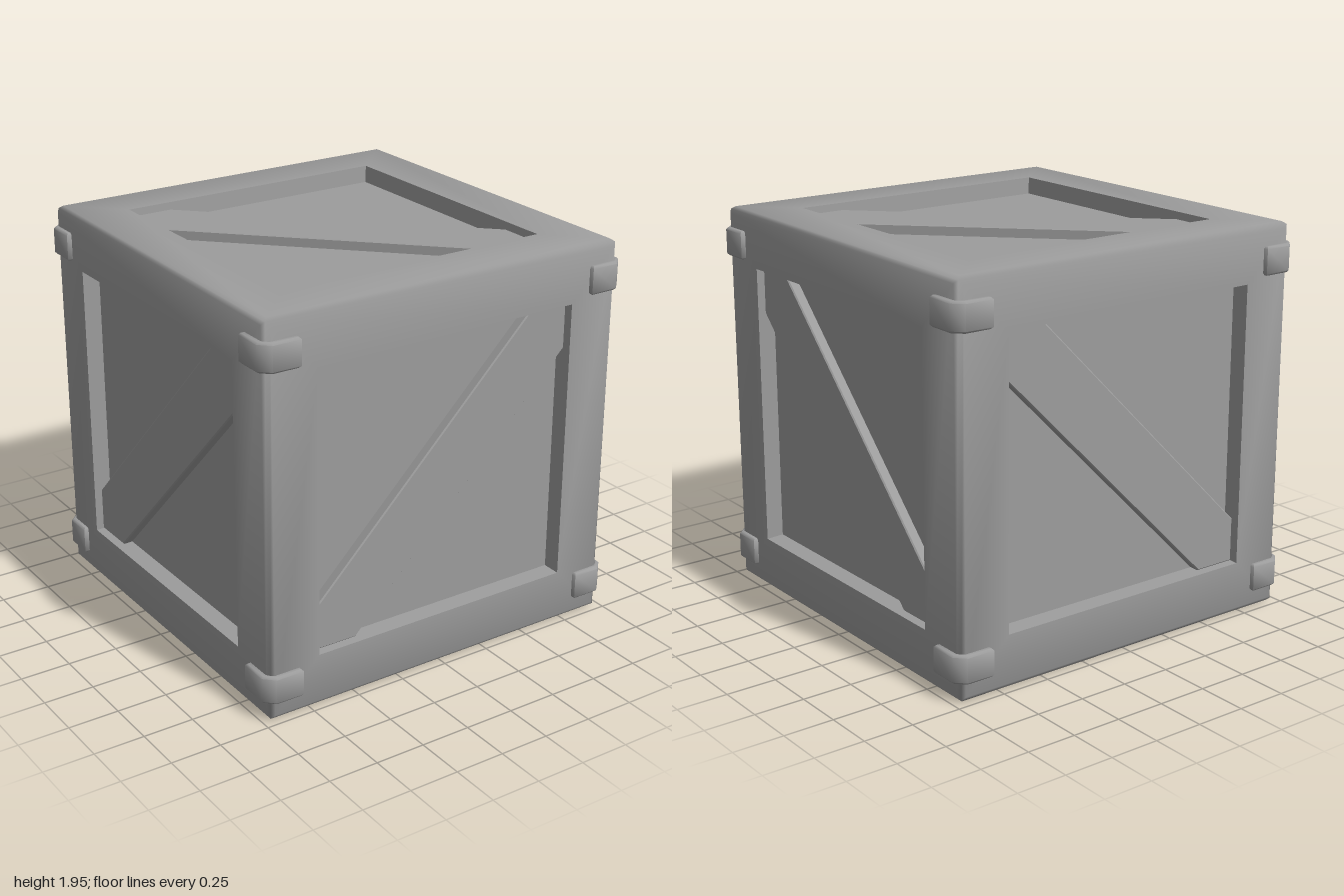
import * as THREE from 'three';
import { toCreasedNormals } from 'three/addons/utils/BufferGeometryUtils.js';

const HALF = 0.975;      // half size of the crate
const OPEN = 0.705;      // half size of each square opening
const PANEL = 0.89;      // distance of the recessed panels from the centre
const material = new THREE.MeshStandardMaterial({ color: 0x9c9c9c });

function addMesh(parent, name, geometry) {
  const mesh = new THREE.Mesh(geometry, material);
  mesh.name = name;
  parent.add(mesh);
  return mesh;
}

// Square loops [half width, z, normal tilt outward] joined by mitred quads
function loftSquares(loops) {
  const pos = [], nor = [], index = [];
  const corners = [[-1, -1], [1, -1], [1, 1], [-1, 1]];
  for (const [h, z, t] of loops) {
    for (const [sx, sy] of corners) {
      const n = new THREE.Vector3(sx * t, sy * t, 1).normalize();
      pos.push(sx * h, sy * h, z);
      nor.push(n.x, n.y, n.z);
    }
  }
  for (let r = 0; r < loops.length - 1; r++) {
    for (let c = 0; c < 4; c++) {
      const a = r * 4 + c, b = r * 4 + (c + 1) % 4;
      index.push(a, a + 4, b + 4, a, b + 4, b);
    }
  }
  const g = new THREE.BufferGeometry();
  g.setAttribute('position', new THREE.Float32BufferAttribute(pos, 3));
  g.setAttribute('normal', new THREE.Float32BufferAttribute(nor, 3));
  g.setIndex(index);
  return g;
}

// Softly bevelled square rim of one face
function rimGeometry() {
  return loftSquares([
    [OPEN, HALF, 0],
    [0.945, HALF, 0.25],
    [0.962, 0.962, 1],
  ]);
}

// Slightly tapered, flat-shaded walls of the opening
function wallGeometry() {
  const g = loftSquares([[0.697, PANEL - 0.005, 0], [OPEN, HALF, 0]]).toNonIndexed();
  g.computeVertexNormals();
  return g;
}

// Diagonal board trimmed to the corners of the opening
function braceGeometry() {
  const e = 0.7, k = 0.48, bevel = 0.006;
  const shape = new THREE.Shape([
    [-e, -e], [-k, -e], [e, k], [e, e], [k, e], [-e, -k],
  ].map(([x, y]) => new THREE.Vector2(x, y)));
  const g = new THREE.ExtrudeGeometry(shape, {
    depth: 0.05, bevelThickness: bevel, bevelSize: bevel, bevelOffset: -bevel, bevelSegments: 1,
  });
  return g.translate(0, 0, PANEL - bevel);
}

// L-shaped clip wrapped around a vertical edge, centred on y = 0, shaded smoothly round the corner
function clipGeometry() {
  const o = 1, i = 0.95, a = 0.805, c = 0.05;
  const shape = new THREE.Shape([
    [a, i], [i, i], [i, a], [o, a], [o, o - c], [o - c, o], [a, o],
  ].map(([x, y]) => new THREE.Vector2(x, y)));
  const bevel = 0.01, height = 0.14;
  const g = new THREE.ExtrudeGeometry(shape, {
    depth: height - 2 * bevel, bevelThickness: bevel, bevelSize: bevel,
    bevelOffset: -bevel, bevelSegments: 1,
  });
  g.translate(0, 0, bevel - height / 2).rotateX(-Math.PI / 2);
  return toCreasedNormals(g, 1);
}

export function createModel() {
  const model = new THREE.Group();
  model.name = 'crate';
  const body = new THREE.Group();
  body.name = 'crateBody';
  body.position.y = HALF;
  model.add(body);

  // Recessed panels are the sides of one inner box
  addMesh(body, 'panels', new THREE.BoxGeometry(2 * PANEL, 2 * PANEL, 2 * PANEL));

  // Six framed faces: [name, x turn, y turn, brace runs the other way]
  const q = Math.PI / 2;
  const faces = [
    ['front', 0, 0, false], ['back', 0, 2 * q, true],
    ['left', 0, q, true], ['right', 0, -q, false],
    ['top', -q, 0, true], ['bottom', q, 0, false],
  ];
  const rim = rimGeometry(), wall = wallGeometry(), brace = braceGeometry();
  for (const [name, rx, ry, flip] of faces) {
    const face = new THREE.Group();
    face.name = name + 'Face';
    face.rotation.set(rx, ry, 0);
    addMesh(face, 'frameRim', rim);
    addMesh(face, 'openingWalls', wall);
    addMesh(face, 'diagonalBrace', brace).rotation.z = flip ? q : 0;
    body.add(face);
  }

  // Clips near both ends of each vertical edge
  const clip = clipGeometry();
  for (const y of [-0.805, 0.805]) {
    for (let k = 0; k < 4; k++) {
      const mesh = addMesh(body, 'cornerClip', clip);
      mesh.position.y = y;
      mesh.rotation.y = k * q;
    }
  }
  return model;
}
